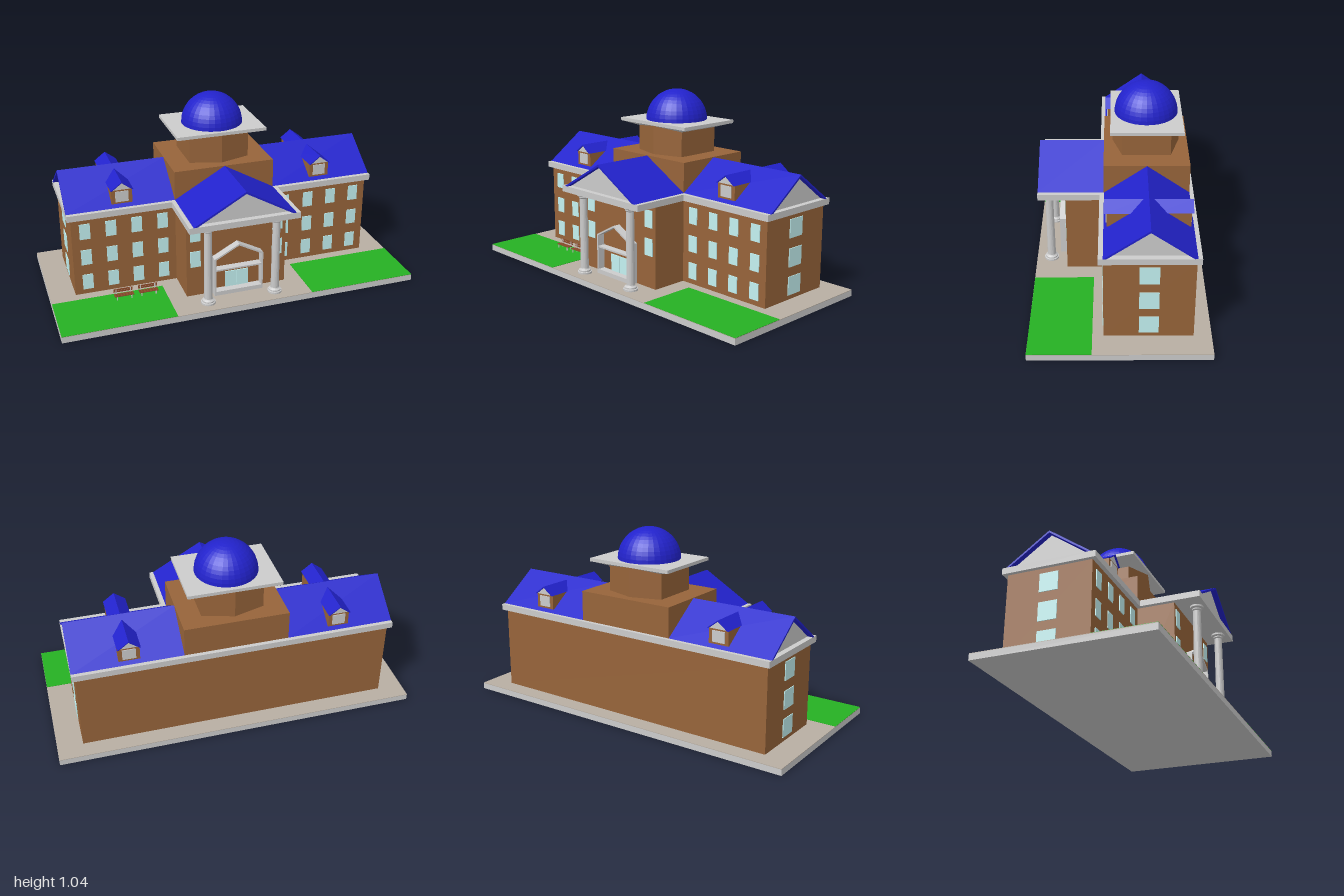
import * as THREE from 'three';

const mat = (color, opts = {}) => new THREE.MeshStandardMaterial({ color, ...opts });
const GREY = mat(0xcccccc);
const BRICK = mat(0x97643a);
const BLUE = mat(0x2222cc, { flatShading: true });
const GLASS = mat(0xc4f2f2);
const LAWN = mat(0x26b023);
const PAVING = mat(0xb8aea2);
const WOOD = mat(0x8a4a2a);

const MID = -0.146;            // z of the main ridge, tower and dome
const GROUND = 0.036;

function add(parent, name, geometry, material) {
  const m = new THREE.Mesh(geometry, material);
  m.name = name;
  parent.add(m);
  return m;
}

// Box given by its limits on each axis
function box(parent, name, material, x0, x1, y0, y1, z0, z1) {
  const m = add(parent, name, new THREE.BoxGeometry(x1 - x0, y1 - y0, z1 - z0), material);
  m.position.set((x0 + x1) / 2, (y0 + y1) / 2, (z0 + z1) / 2);
  return m;
}

const shape = pts => new THREE.Shape(pts.map(p => new THREE.Vector2(...p)));
const prism = (s, depth) => new THREE.ExtrudeGeometry(s, { depth, bevelEnabled: false });

// Gabled roof running from z = 0 to z = length, with a recessed gable wall
function gableRoof(name, half, height, length, thick, recess) {
  const g = new THREE.Group();
  g.name = name;
  const inner = half * (1 - thick / height);
  add(g, 'roofSlopes', prism(shape([[-half, 0], [-inner, 0], [0, height - thick], [inner, 0], [half, 0], [0, height]]), length), BLUE);
  add(g, 'gableWall', prism(shape([[-inner, 0], [inner, 0], [0, height - thick]]), length - recess), GREY);
  return g;
}

// Framed window facing +z, centred on the origin
function makeWindow(w, h) {
  const g = new THREE.Group();
  g.name = 'window';
  box(g, 'windowPane', GLASS, -w / 2, w / 2, -h / 2, h / 2, -0.004, 0.004);
  return g;
}

function makeDormer() {
  const g = new THREE.Group();
  g.name = 'dormer';
  box(g, 'dormerWall', BRICK, -0.057, 0.057, 0.545, 0.627, 0.05, 0.212);
  box(g, 'dormerWindow', GREY, -0.036, 0.036, 0.556, 0.616, 0.2, 0.216);
  const roof = gableRoof('dormerRoof', 0.062, 0.047, 0.195, 0.006, 0.009);
  roof.position.set(0, 0.625, 0.028);
  g.add(roof);
  return g;
}

function makeColumn() {
  const profile = [
    [0, 0], [0.04, 0], [0.04, 0.01], [0.034, 0.012], [0.034, 0.02], [0.025, 0.026],
    [0.023, 0.03], [0.021, 0.43], [0.026, 0.436], [0.026, 0.442], [0.036, 0.448], [0.036, 0.46], [0, 0.46],
  ].map(p => new THREE.Vector2(...p));
  const m = new THREE.Mesh(new THREE.LatheGeometry(profile, 20), mat(0xcccccc, { flatShading: true }));
  m.name = 'column';
  return m;
}

function makeBench() {
  const g = new THREE.Group();
  g.name = 'bench';
  for (let i = 0; i < 3; i++) {
    box(g, 'seatSlat', WOOD, -0.053, 0.053, 0.021, 0.025, -0.01 + i * 0.011, -0.002 + i * 0.011);
  }
  for (let i = 0; i < 2; i++) {
    box(g, 'backSlat', WOOD, -0.053, 0.053, 0.031 + i * 0.011, 0.039 + i * 0.011, -0.019, -0.015);
  }
  for (const x of [-0.04, 0.04]) {
    box(g, 'backPost', GREY, x - 0.003, x + 0.003, 0, 0.05, -0.016, -0.012);
    box(g, 'frontLeg', GREY, x - 0.003, x + 0.003, 0, 0.021, 0.014, 0.018);
    box(g, 'seatRail', GREY, x - 0.003, x + 0.003, 0.017, 0.021, -0.014, 0.018);
  }
  return g;
}

export function createModel() {
  const model = new THREE.Group();
  model.name = 'building';

  // Ground
  box(model, 'base', GREY, -1, 1, 0, 0.033, -0.465, 0.465);
  box(model, 'paving', PAVING, -1, 1, 0.033, GROUND, -0.465, 0.465);
  for (const s of [-1, 1]) {
    const lawn = box(model, 'lawn', LAWN, -0.3075, 0.3075, GROUND - 0.002, GROUND + 0.002, 0.14, 0.4645);
    lawn.position.x = s * 0.692;
  }
  for (const x of [-0.615, -0.478]) {
    const bench = makeBench();
    bench.position.set(x, GROUND + 0.002, 0.194);
    model.add(bench);
  }

  // Walls and cornice
  box(model, 'mainWalls', BRICK, -0.86, 0.86, GROUND, 0.495, -0.373, 0.083);
  box(model, 'entranceWalls', BRICK, -0.285, 0.285, GROUND, 0.495, 0.08, 0.29);
  box(model, 'cornice', GREY, -0.88, 0.88, 0.494, 0.528, -0.396, 0.106);
  box(model, 'porticoCornice', GREY, -0.308, 0.308, 0.494, 0.528, 0.1, 0.437);
  box(model, 'towerBase', BRICK, -0.285, 0.285, 0.528, 0.692, -0.374, 0.083);

  // Roofs and dormers
  for (const s of [-1, 1]) {
    const roof = gableRoof('wingRoof', 0.228, 0.163, 0.597, 0.012, 0.03);
    roof.position.set(s * 0.283, 0.528, MID);
    roof.rotation.y = s * Math.PI / 2;
    model.add(roof);
    for (const turn of [0, Math.PI]) {
      const dormer = makeDormer();
      dormer.position.set(s * 0.573, 0, MID);
      dormer.rotation.y = turn;
      model.add(dormer);
    }
  }
  const porticoRoof = gableRoof('porticoRoof', 0.285, 0.163, 0.356, 0.012, 0.03);
  porticoRoof.position.set(0, 0.528, 0.08);
  model.add(porticoRoof);

  // Six-sided tower, slab with a sloping underside, and dome
  const tower = add(model, 'tower', prism(shape([
    [0, -0.181], [0.17, -0.13], [0.17, 0.13], [0, 0.181], [-0.17, 0.13], [-0.17, -0.13],
  ]), 0.168), BRICK);
  tower.rotation.x = -Math.PI / 2;
  tower.position.set(0, 0.69, MID);
  const under = new THREE.CylinderGeometry(Math.SQRT1_2, 0.001, 0.078, 4, 1).rotateY(Math.PI / 4).scale(0.508, 1, 0.386);
  add(model, 'slabUnderside', under, mat(0xcccccc, { flatShading: true })).position.set(0, 0.816, MID);
  box(model, 'domeSlab', GREY, -0.254, 0.254, 0.854, 0.872, MID - 0.193, MID + 0.193);
  add(model, 'dome', new THREE.SphereGeometry(0.171, 32, 12, 0, Math.PI * 2, 0, Math.PI / 2), BLUE).position.set(0, 0.87, MID);

  // Windows
  const placeWindow = (w, h, x, y, z, turn = 0) => {
    const win = makeWindow(w, h);
    win.position.set(x, y, z);
    win.rotation.y = turn;
    model.add(win);
  };
  const floors = [0.11, 0.261, 0.416];
  for (const s of [-1, 1]) {
    floors.forEach((y, i) => {
      for (const x of [0.358, 0.503, 0.645, 0.787]) placeWindow(0.058, 0.09, s * x, y, 0.083);
      if (i > 0) placeWindow(0.058, 0.095, s * 0.235, y, 0.29);
      placeWindow(0.1, 0.1, s * 0.86, y, -0.145, s * Math.PI / 2);
    });
  }

  // Portico columns
  for (const s of [-1, 1]) {
    const column = makeColumn();
    column.position.set(s * 0.192, GROUND, 0.383);
    model.add(column);
  }

  // Entrance porch: a house-shaped frame with a cross beam, and glazed doors
  const frame = shape([[-0.14, 0.036], [0.14, 0.036], [0.14, 0.262], [0, 0.337], [-0.14, 0.262]]);
  frame.holes.push(new THREE.Path([[-0.131, 0.06], [-0.131, 0.256], [0, 0.327], [0.131, 0.256], [0.131, 0.06]].map(p => new THREE.Vector2(...p))));
  add(model, 'porchFrame', prism(frame, 0.045), GREY).position.z = 0.289;
  box(model, 'porchBeam', GREY, -0.133, 0.133, 0.186, 0.195, 0.289, 0.332);
  for (const s of [-1, 1]) {
    const door = box(model, 'entranceDoor', GLASS, -0.033, 0.033, 0.06, 0.155, 0.286, 0.295);
    door.position.x = s * 0.034;
  }
  return model;
}
